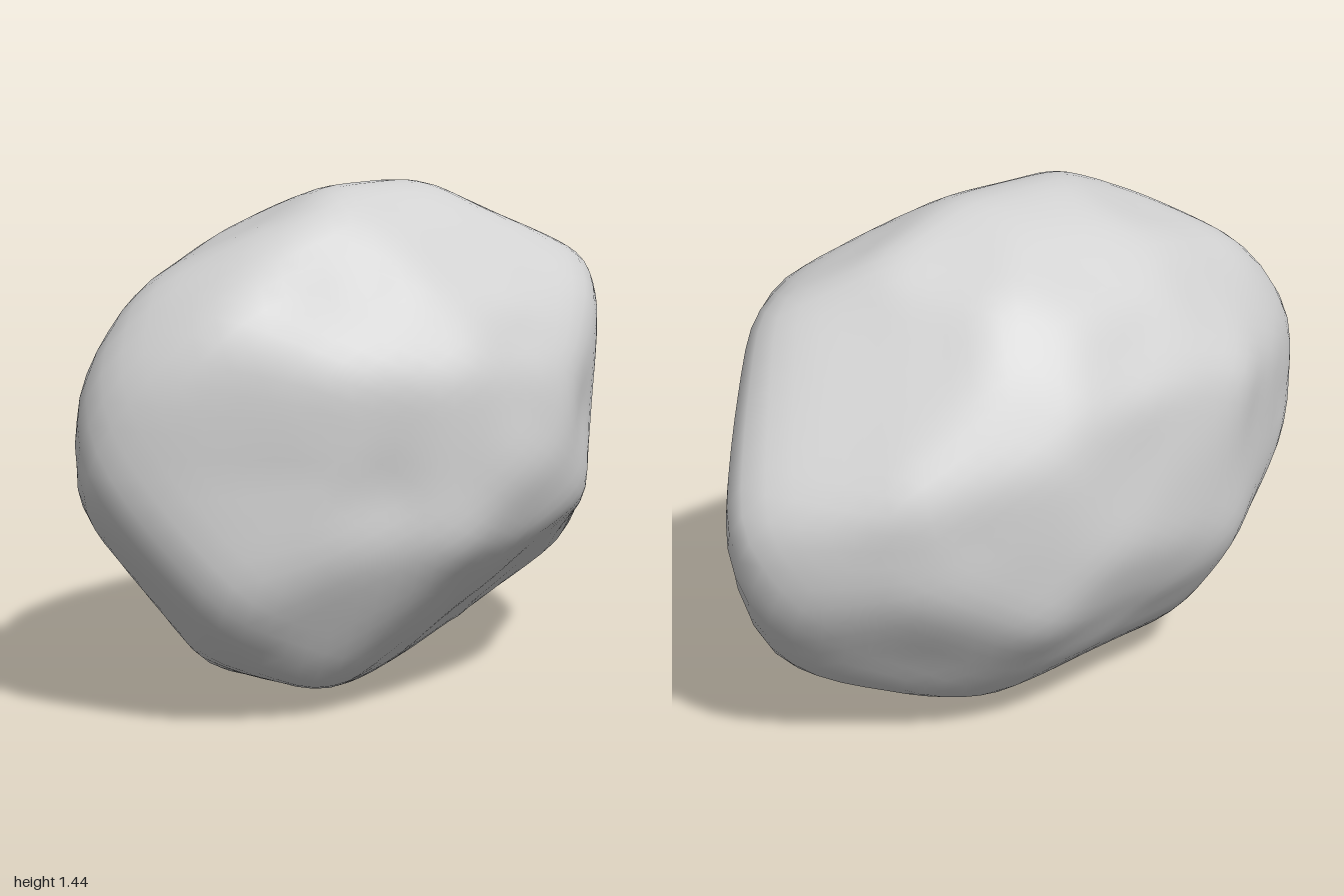
import * as THREE from 'three';
import { mergeVertices } from 'three/addons/utils/BufferGeometryUtils.js';

// Outlines of the rock as pairs, relative to its centre
const frontXY = [-1.045, 0, -0.96, 0.25, -0.78, 0.45, -0.5, 0.63, -0.28, 0.71, 0.15, 0.73, 0.4, 0.64, 0.57, 0.57,
  0.66, 0.52, 0.88, 0.25, 0.97, 0.11, 1.04, -0.02, 0.95, -0.28, 0.78, -0.5, 0.55, -0.58, 0.37, -0.65,
  0, -0.725, -0.2, -0.72, -0.42, -0.66, -0.6, -0.59, -0.77, -0.47, -0.88, -0.36, -0.98, -0.14];
const sideZY = [0, 0.73, 0.1, 0.72, 0.27, 0.62, 0.5, 0.4, 0.58, 0.24, 0.615, -0.02, 0.55, -0.23, 0.2, -0.64,
  0, -0.73, -0.1, -0.71, -0.28, -0.64, -0.42, -0.52, -0.55, -0.32, -0.615, -0.14, -0.57, 0.28, -0.42, 0.51, -0.2, 0.66];
const topXZ = [-1.045, -0.14, -0.94, -0.27, -0.74, -0.4, -0.37, -0.58, 0.1, -0.62, 0.27, -0.6, 0.5, -0.5, 0.7, -0.4,
  0.87, -0.24, 1.04, 0, 0.93, 0.1, 0.6, 0.34, 0.4, 0.5, 0.2, 0.58, 0.07, 0.615, -0.18, 0.6, -0.35, 0.53, -0.6, 0.37, -0.92, 0.07];

// Broad chipped faces: normal and distance from the centre
const facets = [
  [0.17, -0.74, 0.66, 0.54],    // underside at the front
  [0.6, -0.08, 0.8, 0.625],     // front, +x side
  [0.635, 0.65, -0.416, 0.69],  // upper +x shoulder
  [0.7, 0.63, 0.29, 0.875],
  [0.29, 0.64, -0.71, 0.665],   // upper back, +x side
  [0.44, 0.48, -0.76, 0.67],
  [-0.29, 0.64, -0.71, 0.68],   // upper back, -x side
  [-0.44, 0.48, -0.76, 0.725],
  [0.55, -0.5, -0.67, 0.73],    // lower back, +x side
  [0.29, -0.63, -0.71, 0.7],
  [-0.71, -0.63, -0.29, 0.82],  // lower back, -x side
  [-0.5, -0.5, -0.7, 0.735],
  [-0.29, 0.64, 0.71, 0.68],    // upper front, -x side
  [-0.437, 0.48, 0.757, 0.67],
  [-0.615, -0.21, 0.757, 0.715],// front, -x side
  [-0.45, -0.45, 0.77, 0.66],   // lower front, -x side
  [0.3, 0.9, -0.3, 0.69],       // crown
  [-0.3, 0.9, -0.3, 0.715],
  [0.3, 0.9, 0.3, 0.715],
];

// Shallow hollows: direction, depth, sharpness
const dents = [
  [-0.63, 0.7, 0.35, 0.04, 50],
  [-0.7, -0.08, 0.6, 0.02, 60],
  [0.45, 0.1, 0.88, 0.015, 60],
];

// Cutting planes that wrap an outline tightly
function outlinePlanes(points, a, b) {
  const planes = [];
  for (let i = 0; i < points.length; i += 2) {
    const j = (i + 2) % points.length;
    const dx = points[j] - points[i], dy = points[j + 1] - points[i + 1];
    const mx = points[j] + points[i], my = points[j + 1] + points[i + 1];
    const len = Math.hypot(dx, dy) * Math.sign(dy * mx - dx * my);
    const n = new THREE.Vector3();
    n[a] = dy / len;
    n[b] = -dx / len;
    let d = 0;
    for (let k = 0; k < points.length; k += 2) d = Math.max(d, n[a] * points[k] + n[b] * points[k + 1]);
    planes.push({ n, d });
  }
  return planes;
}

function rockGeometry() {
  const planes = [
    ...outlinePlanes(frontXY, 'x', 'y'),
    ...outlinePlanes(sideZY, 'z', 'y'),
    ...outlinePlanes(topXZ, 'x', 'z'),
    ...facets.map(([x, y, z, d]) => ({ n: new THREE.Vector3(x, y, z).normalize(), d })),
  ];
  let geo = new THREE.IcosahedronGeometry(1, 15);
  geo.deleteAttribute('normal');
  geo.deleteAttribute('uv');
  geo = mergeVertices(geo, 1e-4);
  const pos = geo.attributes.position;
  const dirs = [], near = [];
  let radii = [];

  // Radius in each direction: ellipsoid trimmed by every plane
  for (let i = 0; i < pos.count; i++) {
    const u = new THREE.Vector3().fromBufferAttribute(pos, i).normalize();
    let r = 1.06 / Math.hypot(u.x, u.y / 0.725, u.z / 0.615);
    for (const { n, d } of planes) {
      const c = n.dot(u);
      if (c > 0.01) r = Math.min(r, d / c);
    }
    dirs.push(u);
    radii.push(r);
    near.push([]);
  }

  // Soften the edges by averaging neighbours, easing back out to keep the size
  for (let t = 0; t < geo.index.count; t += 3) {
    for (let k = 0; k < 3; k++) near[geo.index.getX(t + k)].push(geo.index.getX(t + (k + 1) % 3));
  }
  for (const w of [0.6, -0.4, 0.6, -0.4, 0.6, 0.4]) {
    radii = radii.map((r, i) => (1 - w) * r + w * near[i].reduce((s, j) => s + radii[j], 0) / near[i].length);
  }

  // Hollows and gentle unevenness
  dirs.forEach((u, i) => {
    let r = radii[i];
    for (const [x, y, z, depth, sharp] of dents) {
      const c = u.dot(new THREE.Vector3(x, y, z).normalize());
      r -= depth * Math.exp(-sharp * (1 - c));
    }
    r += 0.004 * Math.sin(9 * u.x + 4 * u.y) * Math.sin(8 * u.y - 5 * u.z + 1) * Math.sin(9 * u.z + 2);
    pos.setXYZ(i, u.x * r, u.y * r, u.z * r);
  });

  // Centre it and stand it on the ground
  geo.computeBoundingBox();
  const c = geo.boundingBox.getCenter(new THREE.Vector3());
  geo.translate(-c.x, -geo.boundingBox.min.y, -c.z);
  geo.computeVertexNormals();
  return geo;
}

export function createModel() {
  const group = new THREE.Group();
  group.name = 'boulder';
  const stone = new THREE.MeshStandardMaterial({ color: 0xd2d2d2 });
  stone.name = 'stone grey';
  const rock = new THREE.Mesh(rockGeometry(), stone);
  rock.name = 'rock';
  group.add(rock);
  return group;
}
